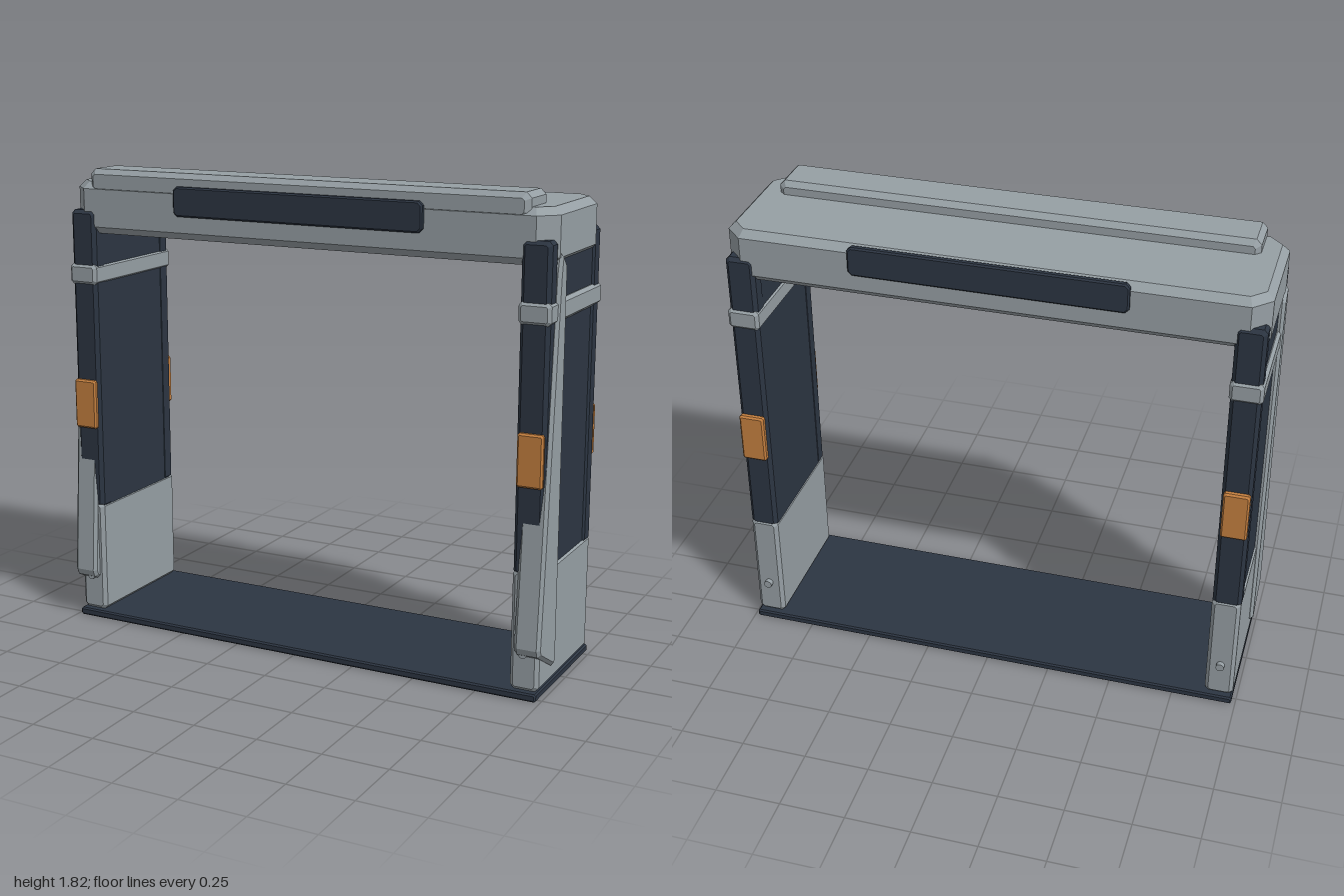
import * as THREE from 'three';

const mat = (name, color) => Object.assign(new THREE.MeshStandardMaterial({ color }), { name });

export function createModel() {
  const grey = mat('grey metal', 0x969fa4);
  const navy = mat('dark navy', 0x2c3542);
  const orange = mat('orange light', 0xc47f3f);
  const model = new THREE.Group();
  model.name = 'gateway';

  const add = (parent, name, geometry, material) => {
    const mesh = new THREE.Mesh(geometry, material);
    mesh.name = name;
    parent.add(mesh);
  };

  // Outline extruded to a depth centred on z = 0, with chamfers kept inside the outline
  const slab = (points, depth, bevel) => {
    const shape = new THREE.Shape(points.map(([x, y]) => new THREE.Vector2(x, y)));
    const g = new THREE.ExtrudeGeometry(shape, {
      depth: depth - 2 * bevel, bevelEnabled: true, bevelThickness: bevel,
      bevelSize: bevel, bevelOffset: -bevel, bevelSegments: 1,
    });
    return g.translate(0, 0, bevel - depth / 2);
  };

  // Rectangle with its corners cut by c
  const cutRect = (w, h, c) => [
    [-w + c, -h], [w - c, -h], [w, -h + c], [w, h - c],
    [w - c, h], [-w + c, h], [-w, h - c], [-w, -h + c],
  ];

  // Chamfered block given by its limits
  const block = (x0, x1, y0, y1, z0, z1, bevel, cut = bevel) =>
    slab(cutRect((x1 - x0) / 2, (y1 - y0) / 2, cut), z1 - z0, bevel)
      .translate((x0 + x1) / 2, (y0 + y1) / 2, (z0 + z1) / 2);

  // Floor plate
  add(model, 'floorPlate', block(-0.985, 0.985, 0, 0.03, -0.287, 0.28, 0.006), navy);

  // Header beam, an octagon in plan with chamfered rims
  const header = slab(cutRect(0.99, 0.253, 0.065), 0.2, 0.027)
    .rotateX(-Math.PI / 2).translate(0, 1.665, -0.005);
  add(model, 'headerBeam', header, grey);
  add(model, 'headerRidge', block(-0.9, 0.9, 1.72, 1.815, 0.07, 0.248, 0.02), grey);

  // Display panels on both faces of the header
  add(model, 'frontDisplay', block(-0.51, 0.51, 1.655, 1.767, 0.24, 0.268, 0.006, 0.015), navy);
  add(model, 'backDisplay', block(-0.51, 0.51, 1.655, 1.767, -0.272, -0.245, 0.006, 0.015), navy);

  // Both pillars
  const finOutline = [
    [0.282, 0.175], [0.132, 0.092], [0.113, 0.112],
    [0.122, 1.562], [0.175, 1.61], [0.192, 1.53], [0.291, 0.2],
  ];
  for (const side of [1, -1]) {
    const pillar = new THREE.Group();
    pillar.name = side > 0 ? 'leftPillar' : 'rightPillar';
    model.add(pillar);
    const part = (name, material, x0, x1, ...rest) =>
      add(pillar, name, side > 0 ? block(x0, x1, ...rest) : block(-x1, -x0, ...rest), material);

    part('sidePanel', navy, 0.878, 0.978, 0.45, 1.6, -0.24, 0.235, 0.004);
    part('foot', grey, 0.875, 0.985, 0.028, 0.482, -0.268, 0.26, 0.014, 0.016);
    part('band', grey, 0.872, 0.993, 1.365, 1.445, -0.272, 0.266, 0.012);

    // Corner posts
    part('frontPost', navy, 0.876, 0.986, 0.46, 1.655, 0.185, 0.257, 0.014);
    part('backPost', navy, 0.876, 0.986, 0.46, 1.655, -0.264, -0.19, 0.014);

    // Marker lights
    part('frontLight', orange, 0.885, 0.983, 0.79, 0.985, 0.25, 0.274, 0.007);
    part('backLight', orange, 0.885, 0.983, 0.79, 0.985, -0.285, -0.257, 0.007);

    // Tapered fin on the outer side
    const fin = slab(finOutline, 0.1, 0.012).rotateY(-Math.PI / 2).translate(side * 0.949, 0, 0);
    add(pillar, 'sideFin', fin, grey);

    // Bolts on the foot
    for (const z of [0.265, -0.275]) {
      const bolt = new THREE.CylinderGeometry(0.016, 0.016, 0.025, 12)
        .rotateX(Math.PI / 2).translate(side * 0.93, 0.175, z);
      add(pillar, 'footBolt', bolt, grey);
    }
  }
  return model;
}
